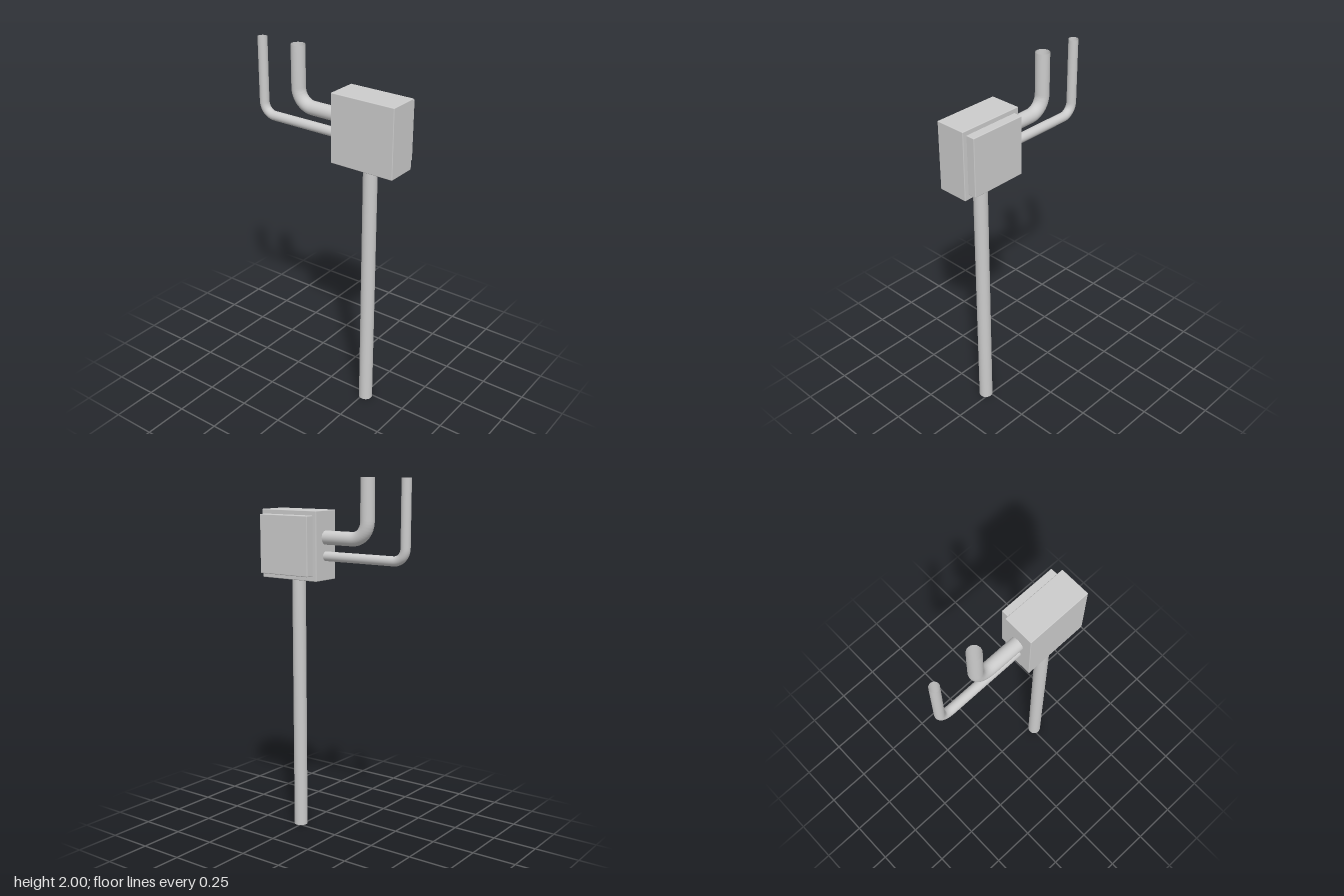
import * as THREE from 'three';
import { RoundedBoxGeometry } from 'three/addons/geometries/RoundedBoxGeometry.js';

const AXIS_X = -0.025; // shared plane of the pole and both pipes

export function createModel() {
  const group = new THREE.Group();
  const solid = new THREE.MeshStandardMaterial({ color: 0xcccccc });
  const open = new THREE.MeshStandardMaterial({ color: 0xcccccc, side: THREE.DoubleSide });

  const add = (name, geometry, material) => {
    const mesh = new THREE.Mesh(geometry, material);
    mesh.name = name;
    group.add(mesh);
    return mesh;
  };

  // Box with slightly softened edges, given by its min and max corners
  const box = (name, min, max) => {
    const size = max.map((v, i) => v - min[i]);
    add(name, new RoundedBoxGeometry(...size, 2, 0.004), solid)
      .position.set(...max.map((v, i) => (v + min[i]) / 2));
  };

  // Open pipe: runs back from the housing, then turns upward
  const elbowPipe = (name, y, z, radius, bend) => {
    const points = [new THREE.Vector3(AXIS_X, y, 0.09)];
    for (let i = 0; i <= 12; i++) {
      const a = (i / 12) * Math.PI / 2;
      points.push(new THREE.Vector3(
        AXIS_X, y + bend * (1 - Math.cos(a)), z + bend * (1 - Math.sin(a))));
    }
    points.push(new THREE.Vector3(AXIS_X, 2, z));
    const path = new THREE.CurvePath();
    for (let i = 1; i < points.length; i++) {
      path.add(new THREE.LineCurve3(points[i - 1], points[i]));
    }
    add(name, new THREE.TubeGeometry(path, 96, radius, 32), open);
  };

  // Support pole
  add('pole', new THREE.CylinderGeometry(0.038, 0.038, 1.46, 32, 1, true), open)
    .position.set(AXIS_X, 0.73, 0.265);

  // Housing and its side cover
  box('housing', [-0.112, 1.447, 0.078], [0.062, 1.823, 0.452]);
  box('sideCover', [0.05, 1.475, 0.102], [0.11, 1.798, 0.428]);

  // Upper thick pipe and lower thin pipe
  elbowPipe('thickPipe', 1.678, -0.192, 0.038, 0.095);
  elbowPipe('thinPipe', 1.578, -0.427, 0.026, 0.07);

  return group;
}
